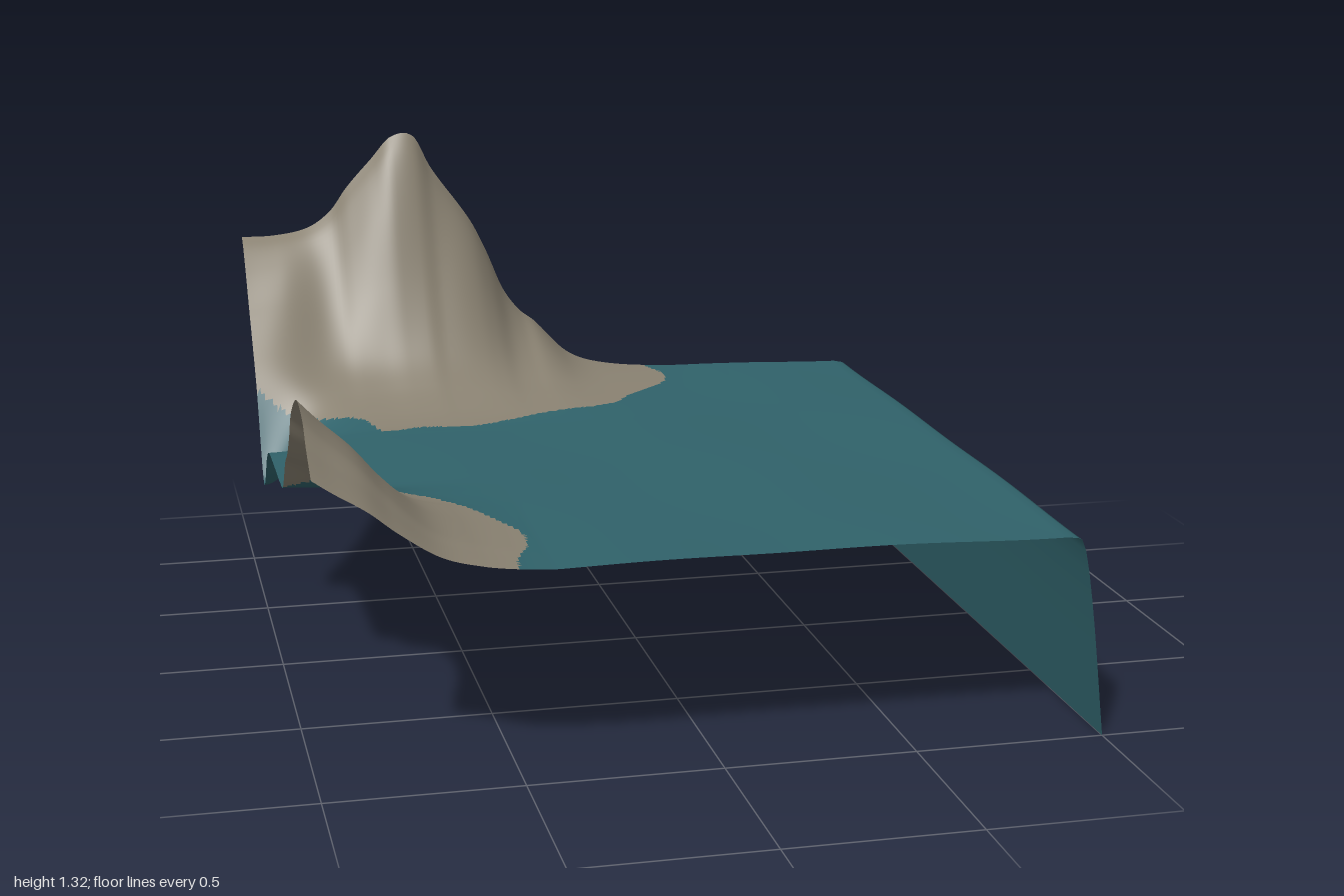
import * as THREE from 'three';

// Smooth curve through [position, value] points, held constant past both ends
function curve(points) {
  const slope = (i) => {
    const a = points[Math.max(i - 1, 0)], b = points[Math.min(i + 1, points.length - 1)];
    return (b[1] - a[1]) / (b[0] - a[0]);
  };
  return (t) => {
    if (t <= points[0][0]) return points[0][1];
    for (let i = 0; i < points.length - 1; i++) {
      const [x0, y0] = points[i], [x1, y1] = points[i + 1];
      if (t > x1) continue;
      const d = x1 - x0, u = (t - x0) / d, u2 = u * u, u3 = u2 * u;
      return y0 * (2 * u3 - 3 * u2 + 1) + y1 * (3 * u2 - 2 * u3)
        + d * (slope(i) * (u3 - 2 * u2 + u) + slope(i + 1) * (u3 - u2));
    }
    return points[points.length - 1][1];
  };
}

const BASE = 0.55;

// Mountain: skyline along the back edge, and how it falls off toward the front
const skyline = curve([[-1, 1.02], [-0.9, 1.02], [-0.8, 1.04], [-0.73, 1.09], [-0.68, 1.16],
  [-0.6, 1.25], [-0.54, 1.315], [-0.47, 1.315], [-0.42, 1.22], [-0.3, 1.05], [-0.25, 0.95],
  [-0.2, 0.83], [-0.15, 0.76], [-0.1, 0.72], [0, 0.62], [0.1, 0.58], [0.3, 0.555], [0.5, 0.55]]);
const mountainFall = curve([[-1, 1], [-0.96, 0.92], [-0.9, 0.75], [-0.8, 0.45], [-0.7, 0.22],
  [-0.6, 0.1], [-0.5, 0.035], [-0.4, 0.005], [-0.32, 0]]);

// Front hill: skyline along the right edge, and how it falls off inward
const hillLine = curve([[0.1, 0.55], [0.2, 0.565], [0.3, 0.66], [0.37, 0.7], [0.45, 0.77], [0.5, 0.83],
  [0.6, 0.89], [0.7, 0.92], [0.83, 0.9], [0.9, 0.85], [1, 0.8]]);
const hillFall = curve([[-1, 1], [-0.95, 0.86], [-0.87, 0.66], [-0.8, 0.44], [-0.7, 0.19],
  [-0.6, 0.08], [-0.5, 0.025], [-0.42, 0]]);

// Edge drop on the model's left
const drop = curve([[0.88, 1], [0.9, 0.995], [0.93, 0.95], [0.96, 0.63], [1, 0]]);

// Rock outlines on the plan
const mountainEdge = curve([[-1, -0.62], [-0.9, -0.56], [-0.8, -0.5], [-0.7, -0.46], [-0.66, -0.37],
  [-0.55, -0.385], [-0.4, -0.38], [-0.28, -0.42], [-0.17, -0.47], [0, -0.52], [0.07, -0.56],
  [0.12, -0.63], [0.2, -0.71], [0.26, -0.78], [0.29, -0.88], [0.295, -1.1]]);
const hillEdge = curve([[0.2, -1], [0.26, -0.9], [0.33, -0.8], [0.35, -0.69], [0.39, -0.63],
  [0.5, -0.55], [0.6, -0.5], [0.7, -0.455], [0.8, -0.455], [0.92, -0.5], [1, -0.51]]);

function isRock(x, z) {
  if (z < 0) return z < mountainEdge(x) && x < 0.25 + 0.04 * Math.min(1, (z + 1) / 0.1);
  return z > 0.2 && x < hillEdge(z);
}

function height(x, z) {
  // The mountain's outer shoulder is broader than its peak
  const shoulder = 1 - 0.4 * THREE.MathUtils.smoothstep(-x, 0.6, 1);
  const fall = Math.pow(Math.max(mountainFall(z), 0), shoulder);
  const flutes = 1 + 0.05 * Math.sin(x * 23 + z * 4) * fall * (1 - fall) * 4;
  const mountain = (skyline(x) - BASE) * fall * flutes;
  const hill = (hillLine(z) - BASE) * hillFall(x);
  const hollow = 0.2 * Math.exp(-(((x + 1) / 0.13) ** 2) - ((z + 0.47) / 0.12) ** 2);
  const ripple = 0.004 * Math.sin(x * 7 + z * 2) * Math.cos(z * 5 - x * 2);
  const ground = BASE - 0.008 * THREE.MathUtils.smoothstep(x, 0.2, 0.9) + ripple;
  return Math.max(0, (ground + mountain + hill - hollow) * drop(x));
}

export function createModel() {
  const model = new THREE.Group();
  const seaMaterial = new THREE.MeshStandardMaterial({ color: 0x30626a, side: THREE.DoubleSide });
  seaMaterial.name = 'deep teal';
  const rockMaterial = new THREE.MeshStandardMaterial({ color: 0x8a8272, side: THREE.DoubleSide });
  rockMaterial.name = 'grey brown rock';

  // One height field shaped from a flat grid
  const terrain = new THREE.PlaneGeometry(2, 2, 180, 180).rotateX(-Math.PI / 2);
  const pos = terrain.attributes.position;
  for (let i = 0; i < pos.count; i++) pos.setY(i, height(pos.getX(i), pos.getZ(i)));
  terrain.computeVertexNormals();

  // Sort its triangles into bare rock and teal ground
  const parts = { ground: [], mountain: [], frontHill: [] };
  const index = terrain.index.array;
  for (let i = 0; i < index.length; i += 3) {
    const tri = [index[i], index[i + 1], index[i + 2]];
    const x = tri.reduce((s, v) => s + pos.getX(v), 0) / 3;
    const z = tri.reduce((s, v) => s + pos.getZ(v), 0) / 3;
    const name = !isRock(x, z) ? 'ground' : z < 0 ? 'mountain' : 'frontHill';
    parts[name].push(...tri);
  }

  // The parts share vertices and normals, so the seams stay smooth
  for (const [name, triangles] of Object.entries(parts)) {
    const geometry = new THREE.BufferGeometry();
    geometry.setAttribute('position', pos);
    geometry.setAttribute('normal', terrain.attributes.normal);
    geometry.setIndex(triangles);
    const mesh = new THREE.Mesh(geometry, name === 'ground' ? seaMaterial : rockMaterial);
    mesh.name = name;
    model.add(mesh);
  }
  return model;
}
